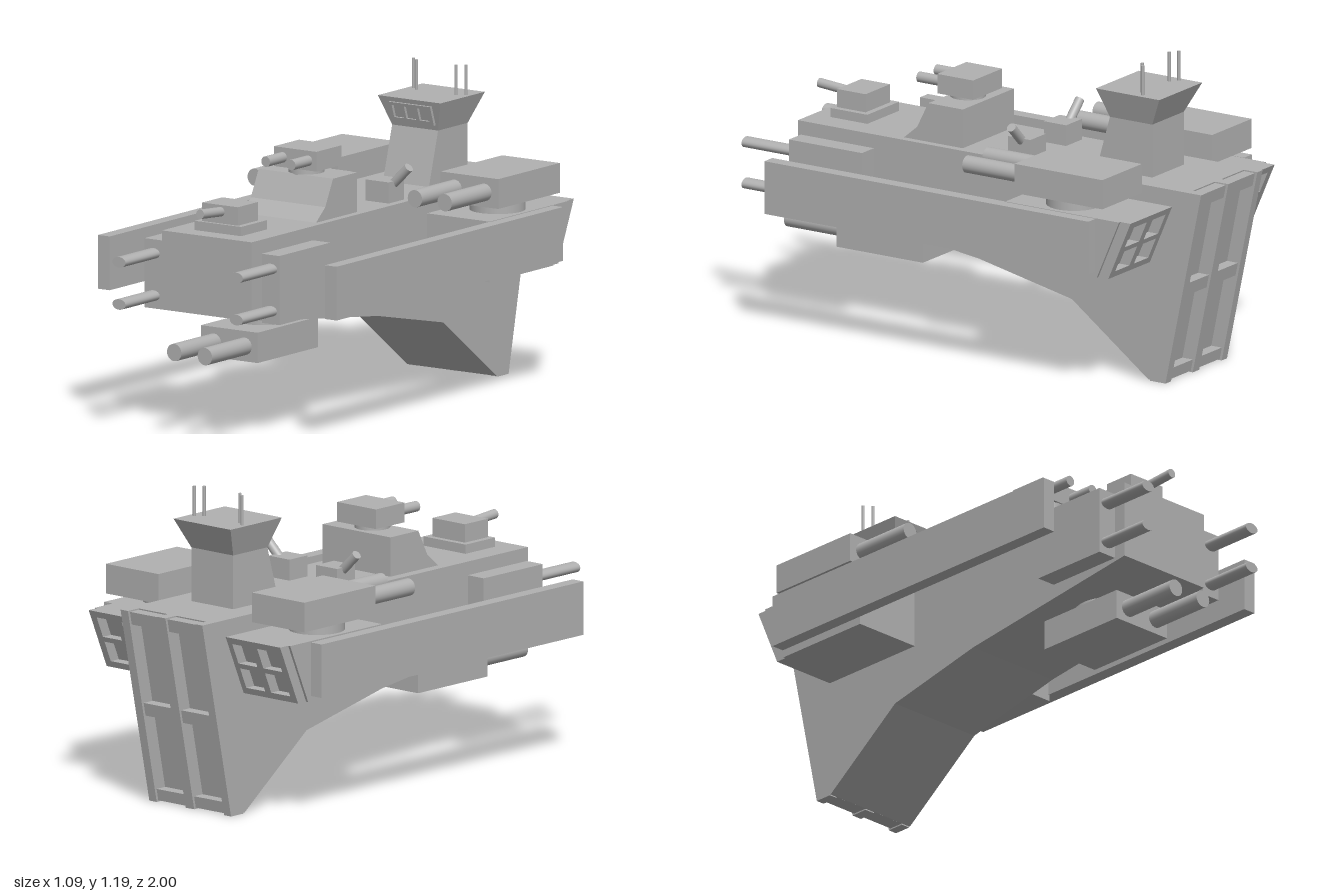
import * as THREE from 'three';

export function createModel() {
  const model = new THREE.Group();
  const grey = new THREE.MeshStandardMaterial({ color: 0xb0b0b0 });
  grey.name = 'hull grey';
  const MID = 0.007; // centre line of the hull

  function add(name, geometry, parent = model) {
    const mesh = new THREE.Mesh(geometry, grey);
    mesh.name = name;
    parent.add(mesh);
    return mesh;
  }

  // Box given by its limits on each axis
  function box(name, x0, x1, y0, y1, z0, z1, parent) {
    const g = new THREE.BoxGeometry(x1 - x0, y1 - y0, z1 - z0);
    g.translate((x0 + x1) / 2, (y0 + y1) / 2, (z0 + z1) / 2);
    return add(name, g, parent);
  }

  // Cylinder between two points
  function rod(name, a, b, r, parent, sides = 24) {
    const from = new THREE.Vector3(...a), to = new THREE.Vector3(...b);
    const dir = to.clone().sub(from);
    const g = new THREE.CylinderGeometry(r, r, dir.length(), sides);
    const mesh = add(name, g, parent);
    mesh.quaternion.setFromUnitVectors(new THREE.Vector3(0, 1, 0), dir.normalize());
    mesh.position.copy(from.add(to).multiplyScalar(0.5));
    return mesh;
  }

  // Side outline of [z, y] points extruded across x
  function profile(name, points, x0, x1, parent) {
    const shape = new THREE.Shape(points.map(p => new THREE.Vector2(...p)));
    const g = new THREE.ExtrudeGeometry(shape, { depth: x1 - x0, bevelEnabled: false });
    g.rotateY(-Math.PI / 2).translate(x1, 0, 0);
    return add(name, g, parent);
  }

  // Four-sided block with different rectangles [x0, x1, z0, z1] at bottom and top
  function taper(name, y0, low, y1, high, parent) {
    const g = new THREE.BoxGeometry(1, 1, 1).toNonIndexed();
    const p = g.attributes.position;
    for (let i = 0; i < p.count; i++) {
      const up = p.getY(i) > 0, r = up ? high : low;
      p.setXYZ(i, r[p.getX(i) > 0 ? 1 : 0], up ? y1 : y0, r[p.getZ(i) > 0 ? 3 : 2]);
    }
    g.computeVertexNormals();
    return add(name, g, parent);
  }

  // Frame with rectangular openings, leaning so that its back follows zAt(y)
  function frame(name, x0, x1, y0, y1, holes, zAt, depth, parent) {
    const rect = (C, a, b, c, d) => new C([[a, c], [b, c], [b, d], [a, d]].map(p => new THREE.Vector2(...p)));
    const shape = rect(THREE.Shape, x0, x1, y0, y1);
    for (const h of holes) shape.holes.push(rect(THREE.Path, ...h));
    const g = new THREE.ExtrudeGeometry(shape, { depth, bevelEnabled: false });
    const p = g.attributes.position;
    for (let i = 0; i < p.count; i++) p.setZ(i, p.getZ(i) + zAt(p.getY(i)));
    g.computeVertexNormals();
    return add(name, g, parent);
  }

  // Wedge hull
  profile('hull', [[0.81, 0.455], [0.81, 0.755], [-0.94, 0.755], [-0.785, 0.01], [-0.765, 0.003],
    [-0.42, 0.26], [0, 0.35]], -0.2, 0.21);

  // Stern lattice with raised uprights
  const sternZ = y => -0.84 - 0.16 * y / 0.755;
  const sternHoles = [];
  for (const [a, b] of [[-0.165, -0.015], [0.028, 0.173]])
    for (const [c, d] of [[0.05, 0.34], [0.39, 0.7]]) sternHoles.push([a, b, c, d]);
  frame('sternLattice', -0.2, 0.21, 0.005, 0.75, sternHoles, y => sternZ(y) + 0.01, 0.06);
  for (const [a, b] of [[-0.2, -0.165], [-0.015, 0.028], [0.173, 0.21]])
    frame('sternUpright', a, b, 0, 0.755, [], sternZ, 0.07);

  // Twin-barrel turret on a round ring
  function turret(name, x, y, z0, z1, height, ringZ, ringR, ringY, spread, barrelR, barrelEnd, width) {
    const g = new THREE.Group();
    g.name = name;
    model.add(g);
    rod('turretRing', [x, ringY[0], ringZ], [x, ringY[1], ringZ], ringR, g, 32);
    box('turretHouse', x - width / 2, x + width / 2, y, y + height, z0, z1, g);
    for (const s of [-1, 1])
      rod('turretBarrel', [x + s * spread, y + height / 2, z1 - 0.02],
        [x + s * spread, y + height / 2, barrelEnd], barrelR, g);
  }

  // Parts on both sides
  const engineZ = y => -0.77 - 0.1 * (y - 0.46) / 0.23;
  for (const s of [-1, 1]) {
    const side = s < 0 ? 'right' : 'left';
    const span = (a, b) => s > 0 ? [MID + a, MID + b] : [MID - b, MID - a];

    // Engine pod and its rear lattice
    const [e0, e1] = span(0.19, 0.49);
    profile(side + 'EnginePod', [[-0.315, 0.46], [-0.315, 0.69], [-0.825, 0.69], [-0.725, 0.46]], e0, e1);
    const [f0, f1] = span(0.2, 0.48);
    const holes = [], w = (f1 - f0 - 0.09) / 2;
    for (let i = 0; i < 2; i++) for (let j = 0; j < 2; j++) {
      const hx = f0 + 0.03 + i * (w + 0.03), hy = 0.485 + j * 0.1;
      holes.push([hx, hx + w, hy, hy + 0.08]);
    }
    frame(side + 'EngineLattice', f0, f1, 0.46, 0.69, holes, engineZ, 0.046);

    // Long armour plate
    box(side + 'ArmourPlate', ...(s > 0 ? [0.492, 0.545] : [-0.545, -0.492]), 0.484, 0.688, -0.72, 0.735);

    // Main turret
    turret(side + 'MainTurret', MID + s * 0.366, 0.732, -0.755, -0.36, 0.113, -0.54, 0.105,
      [0.68, 0.74], 0.068, 0.033, -0.105, 0.263);

    // Forward gun box on a round mount
    const [b0, b1] = span(0.228, 0.308), bx = (b0 + b1) / 2;
    rod(side + 'ForwardMount', [MID + s * 0.18, 0.56, 0.645], [MID + s * 0.235, 0.56, 0.645], 0.086, undefined, 32);
    box(side + 'ForwardGunBox', b0, b1, 0.448, 0.71, 0.452, 0.78);
    for (const y of [0.497, 0.657]) {
      const barrel = rod(side + 'ForwardBarrel', [bx, y, 0.76], [bx, y, 1], 0.02);
      barrel.scale.x = 1.5;
    }

    // Small angled deck gun
    const [d0, d1] = span(0.067, 0.172);
    box(side + 'DeckGunBox', d0, d1, 0.75, 0.835, -0.212, -0.113);
    rod(side + 'DeckGunBarrel', [MID + s * 0.1, 0.765, -0.165], [MID + s * 0.228, 0.89, -0.165], 0.018);
  }

  // Turret under the bow
  turret('bellyTurret', 0.015, 0.27, 0.293, 0.68, 0.115, 0.46, 0.105, [0.37, 0.46], 0.07, 0.033, 0.935, 0.26);

  // Raised wedge with its turret
  profile('deckWedge', [[0.36, 0.75], [0.295, 0.805], [0.245, 0.905], [0.09, 0.905], [0.09, 0.75]], -0.16, 0.18);
  turret('deckTurret', 0.012, 0.925, 0.092, 0.252, 0.075, 0.18, 0.067, [0.895, 0.93], 0.058, 0.02, 0.36, 0.194);

  // Bow gun
  box('bowGunBase', -0.105, 0.107, 0.75, 0.79, 0.568, 0.733);
  box('bowGunHouse', -0.08, 0.083, 0.79, 0.86, 0.592, 0.72);
  rod('bowGunBarrel', [0.004, 0.83, 0.66], [0.004, 0.845, 0.852], 0.018);

  // Bridge tower with flared top
  taper('bridgeTower', 0.75, [-0.098, 0.112, -0.715, -0.465], 0.96, [-0.098, 0.112, -0.715, -0.525]);
  taper('bridgeTop', 0.96, [-0.098, 0.112, -0.715, -0.525], 1.073, [-0.136, 0.15, -0.772, -0.487]);

  // Window frame on the sloping face
  const faceZ = y => -0.525 + 0.038 * (y - 0.96) / 0.113;
  const windows = [-0.072, -0.016, 0.044, 0.05].slice(0, 3).map(x => [x, x + 0.045, 0.995, 1.043]);
  frame('bridgeWindows', -0.086, 0.106, 0.98, 1.055, windows, faceZ, 0.012);

  // Antennas
  for (const [x, z] of [[-0.113, -0.682], [-0.083, -0.66], [0.097, -0.66], [0.127, -0.682]])
    rod('antenna', [x, 1.07, z], [x, 1.187, z], 0.006, undefined, 10);

  return model;
}
